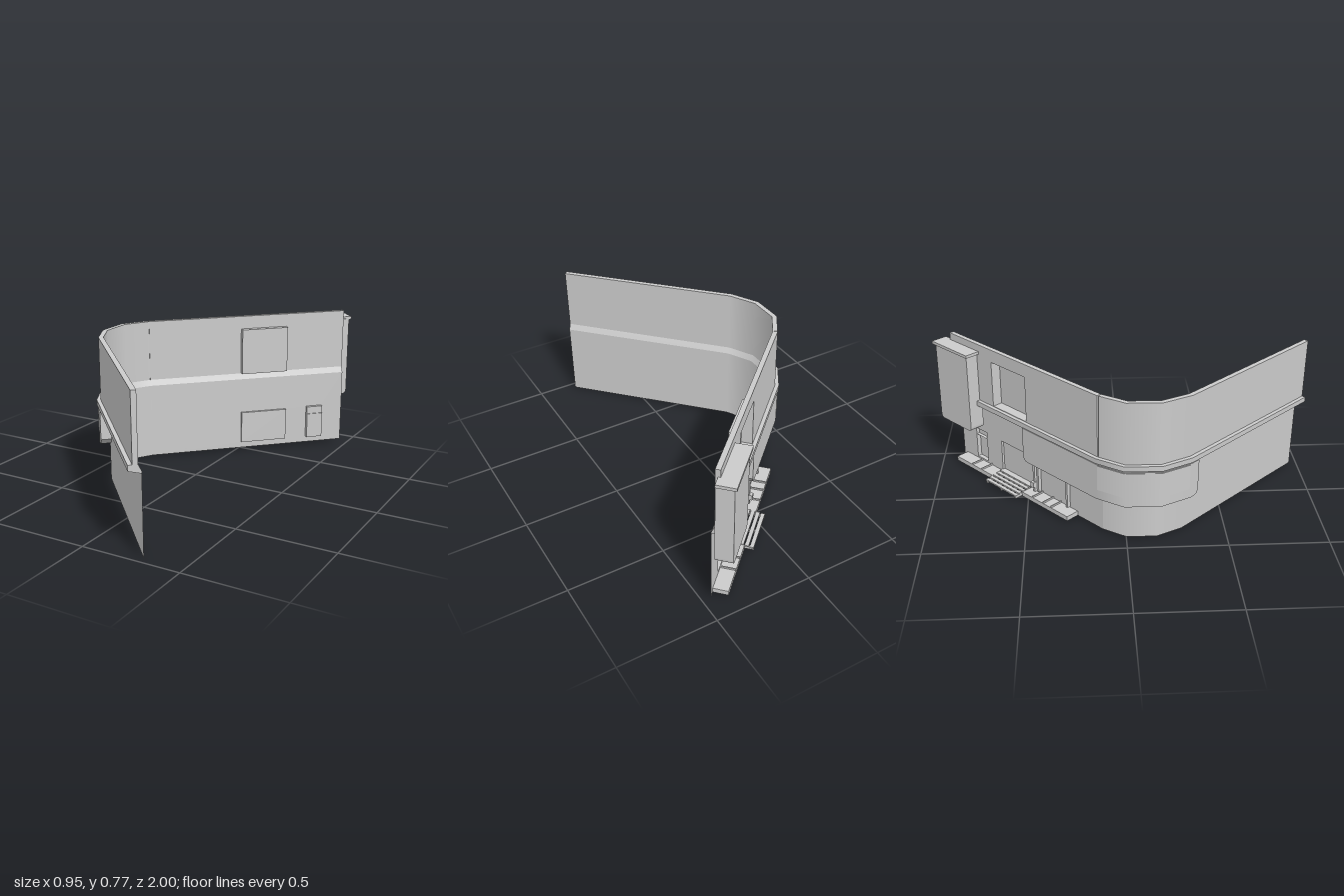
import * as THREE from 'three';

const grey = new THREE.MeshStandardMaterial({ color: 0xcccccc, side: THREE.DoubleSide });

// Plan of the wall [x, z]: front wing, faceted bend, back wing
const PLAN = [[0.298, 0.962], [-0.347, 0.28], [-0.415, 0.15], [-0.415, 0], [-0.342, -0.115], [0.46, -0.88]];
const outward = (a, b) => {
  const l = Math.hypot(b[0] - a[0], b[1] - a[1]);
  return [(b[1] - a[1]) / l, -(b[0] - a[0]) / l];
};
const dot = (a, b) => a[0] * b[0] + a[1] * b[1];
const FRONT = outward(PLAN[0], PLAN[1]);
const BACK = outward(PLAN[4], PLAN[5]);
const BACK_LENGTH = Math.hypot(PLAN[5][0] - PLAN[4][0], PLAN[5][1] - PLAN[4][1]);

function mesh(name, geometry) {
  const m = new THREE.Mesh(geometry, grey);
  m.name = name;
  return m;
}

// Sweep a profile of [outward offset, y] along a plan path, smooth round the bend
function sweep(name, path, profileAt, closed = true) {
  const pos = [], nor = [], idx = [];
  const rings = path.map((p, i) => {
    const n1 = outward(path[Math.max(i - 1, 0)], path[Math.max(i, 1)]);
    const last = path.length - 1;
    const n2 = outward(path[Math.min(i, last - 1)], path[Math.min(i + 1, last)]);
    const k = 1 / (1 + dot(n1, n2));
    const miter = [(n1[0] + n2[0]) * k, (n1[1] + n2[1]) * k];
    let smooth = [n1, n2].find(n => dot(n, FRONT) > 0.9999 || dot(n, BACK) > 0.9999);
    if (!smooth) {
      const l = Math.hypot(...miter);
      smooth = [miter[0] / l, miter[1] / l];
    }
    const profile = profileAt(i);
    return { profile, smooth, pts: profile.map(([o, y]) => [p[0] + miter[0] * o, y, p[1] + miter[1] * o]) };
  });
  const count = rings[0].pts.length;
  for (let j = 0; j < (closed ? count : count - 1); j++) {
    const k = (j + 1) % count, base = pos.length / 3;
    rings.forEach(({ profile, smooth, pts }, i) => {
      const dO = profile[k][0] - profile[j][0], dY = profile[k][1] - profile[j][1], l = Math.hypot(dO, dY);
      const n = [smooth[0] * dY / l, -dO / l, smooth[1] * dY / l];
      pos.push(...pts[j], ...pts[k]);
      nor.push(...n, ...n);
      if (i) {
        const a = base + i * 2 - 2;
        idx.push(a, a + 1, a + 3, a, a + 3, a + 2);
      }
    });
  }
  // End caps
  if (closed) [rings[0], rings[rings.length - 1]].forEach(({ pts, smooth }, end) => {
    const base = pos.length / 3, s = end ? 1 : -1;
    pts.forEach(p => { pos.push(...p); nor.push(-smooth[1] * s, 0, smooth[0] * s); });
    for (let j = 1; j < count - 1; j++) idx.push(base, base + (end ? j : j + 1), base + (end ? j + 1 : j));
  });
  const g = new THREE.BufferGeometry();
  g.setAttribute('position', new THREE.Float32BufferAttribute(pos, 3));
  g.setAttribute('normal', new THREE.Float32BufferAttribute(nor, 3));
  g.setIndex(idx);
  return mesh(name, g);
}

// Back wing helpers: s runs along the wing, o is the offset outward
function box(name, s0, s1, y0, y1, o0, o1) {
  const g = new THREE.BoxGeometry(s1 - s0, y1 - y0, o1 - o0);
  g.translate((s0 + s1) / 2, (y0 + y1) / 2, -(o0 + o1) / 2);
  return mesh(name, g);
}
// Recess: a box without its outer face
function alcove(...args) {
  const m = box(...args);
  m.geometry.setIndex(Array.from(m.geometry.index.array).slice(0, 30));
  return m;
}
function rectPath(P, s0, s1, y0, y1) {
  return new P([[s0, y0], [s1, y0], [s1, y1], [s0, y1]].map(p => new THREE.Vector2(...p)));
}
function wallShape(s0, s1, y0, y1, openings) {
  const shape = rectPath(THREE.Shape, s0, s1, y0, y1);
  shape.holes = openings.map(o => rectPath(THREE.Path, ...o));
  return shape;
}

export function createModel() {
  const model = new THREE.Group();
  model.name = 'cornerFacade';
  const facade = new THREE.Group();
  facade.name = 'facade';
  facade.position.y = 0.0097;
  facade.rotation.x = 0.01; // ground falls slightly to the front
  model.add(facade);

  // Lower wall, upper wall and the sloped ledge between them
  const bend = PLAN.slice(0, 5);
  facade.add(
    sweep('lowerWall', bend, () => [[0, 0], [0, 0.4]], false),
    sweep('upperWall', bend, () => [[0.015, 0.43], [0.04, 0.43], [0.04, 0.755], [0.015, 0.755]]),
    sweep('ledge', PLAN, () => [[0, 0.39], [0.06, 0.405], [0.06, 0.432], [0.015, 0.432], [0, 0.402]])
  );

  // Fascia wrapped round the bend, lower corners rounded
  const path = [], bottoms = [], r = 0.03, steps = 5;
  const add = (p, t) => {
    path.push(p);
    const q = Math.max(0, r - t);
    bottoms.push(0.205 + r - Math.sqrt(r * r - q * q));
  };
  const along = (p, n, d) => [p[0] - n[1] * d, p[1] + n[0] * d];
  const arc = i => r * (1 - Math.cos(i / steps * Math.PI / 2));
  for (let i = 0; i <= steps; i++) add(along(PLAN[1], FRONT, -(0.05 - arc(i))), arc(i));
  PLAN.slice(1, 5).forEach(p => add(p, 1));
  for (let i = steps; i >= 0; i--) add(along(PLAN[4], BACK, 0.53 - arc(i)), arc(i));
  facade.add(
    sweep('fascia', path, i => [[0, bottoms[i]], [0.053, bottoms[i]], [0.053, 0.397], [0, 0.397]]),
    sweep('fasciaPanel', PLAN.slice(1, 5), () => [[0.05, 0.258], [0.056, 0.258], [0.056, 0.392], [0.05, 0.392]])
  );

  // Back wing, built along its own axis
  const wing = new THREE.Group();
  wing.name = 'backWing';
  wing.position.set(PLAN[4][0], 0, PLAN[4][1]);
  wing.rotation.y = Math.atan2(-BACK[0], -BACK[1]);
  facade.add(wing);

  const door = [0.51, 0.77, 0.035, 0.21], sideDoor = [0.895, 0.985, 0.035, 0.215], upper = [0.51, 0.77, 0.435, 0.685];
  wing.add(mesh('lowerBackWall', new THREE.ShapeGeometry(wallShape(0, BACK_LENGTH, 0, 0.4, [door, sideDoor]))));
  const upperGeo = new THREE.ExtrudeGeometry(wallShape(-0.003, BACK_LENGTH, 0.43, 0.755, [upper]),
    { depth: 0.025, bevelEnabled: false });
  upperGeo.translate(0, 0, -0.04);
  wing.add(
    mesh('upperBackWall', upperGeo),
    alcove('doorAlcove', ...door, -0.013, 0),
    alcove('upperAlcove', ...upper, -0.015, 0.04),
    alcove('sideDoorAlcove', 0.895, 0.985, 0.035, 0.175, -0.024, 0),
    alcove('sideDoorTransom', 0.895, 0.985, 0.175, 0.215, -0.019, 0)
  );

  // Shop window frame beside the door
  wing.add(
    box('windowJamb', 0.235, 0.247, 0.03, 0.205, 0, 0.02),
    box('windowJamb', 0.455, 0.467, 0.03, 0.205, 0, 0.02),
    box('windowHead', 0.247, 0.455, 0.193, 0.205, 0, 0.02),
    box('windowPost', 0.472, 0.486, 0.03, 0.2, 0, 0.03),
    box('postKnob', 0.467, 0.491, 0.06, 0.09, 0.01, 0.045)
  );

  // Hanging cabinet with rounded lower corners and a cap
  const c = new THREE.Shape();
  c.moveTo(0.885, 0.705);
  c.lineTo(0.885, 0.29);
  c.quadraticCurveTo(0.885, 0.265, 0.91, 0.265);
  c.lineTo(1.12, 0.265);
  c.quadraticCurveTo(1.145, 0.265, 1.145, 0.29);
  c.lineTo(1.145, 0.705);
  const cabinet = new THREE.ExtrudeGeometry(c, { depth: 0.085, bevelEnabled: false, curveSegments: 5 });
  cabinet.translate(0, 0, -0.11);
  wing.add(mesh('cabinet', cabinet), box('cabinetCap', 0.87, 1.16, 0.7, 0.716, 0.028, 0.122));

  // Walkway either side of the slatted step
  wing.add(box('walkway', 0.18, 0.526, 0, 0.025, 0, 0.075), box('walkway', 0.773, 1.08, 0, 0.025, 0, 0.075));
  for (const s of [0.3, 0.36, 0.44, 0.86, 0.94]) wing.add(box('walkwayDivider', s, s + 0.006, 0.025, 0.034, 0, 0.075));
  for (let i = 0; i < 5; i++) {
    const o = i * 0.025;
    wing.add(box('stepSlat', 0.526, 0.773, 0.028 - i * 0.004, 0.036 - i * 0.004, o, o + 0.02));
  }
  for (const s of [0.53, 0.645, 0.76]) wing.add(box('stepBearer', s, s + 0.008, 0, 0.016, 0, 0.12));

  return model;
}
